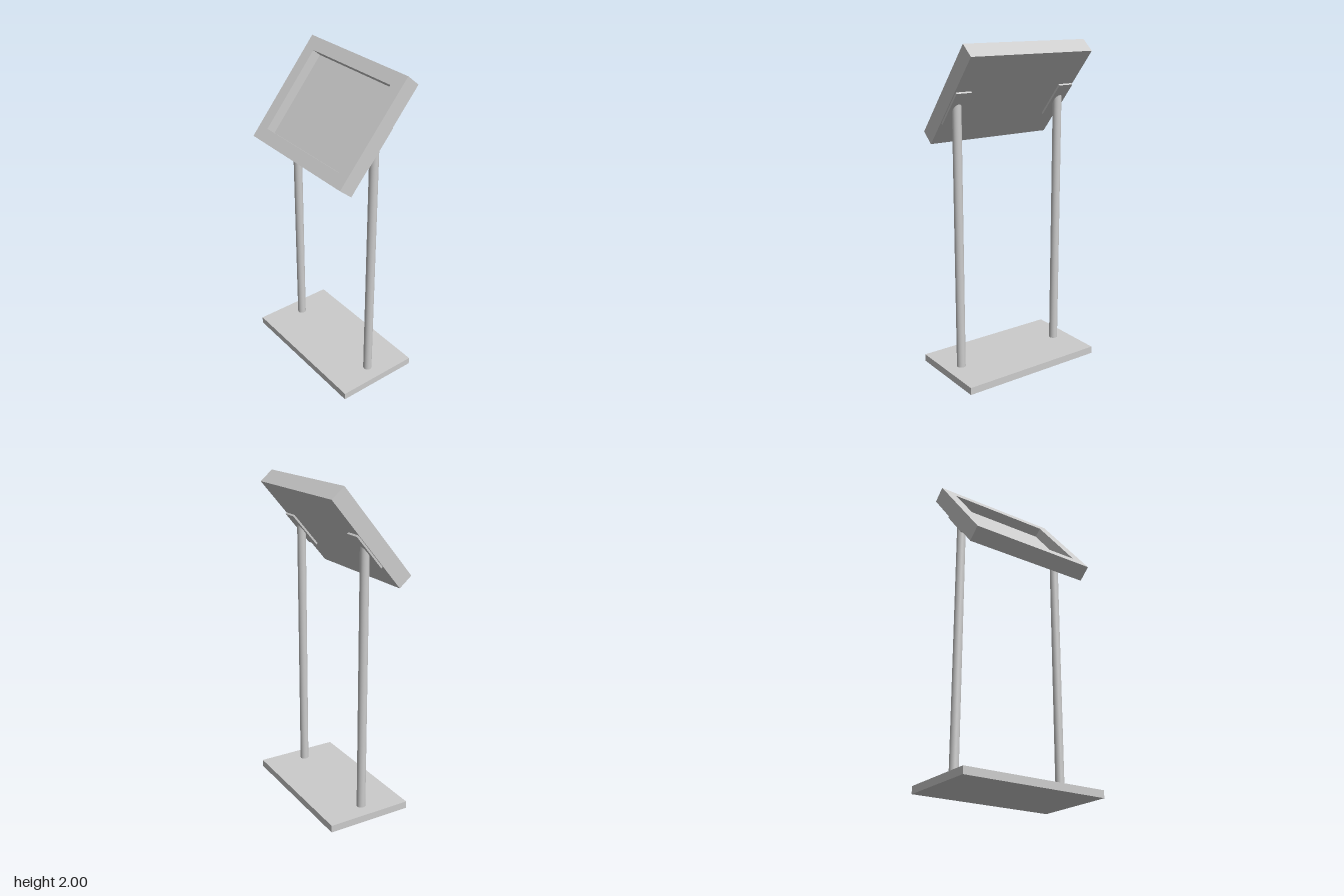
import * as THREE from 'three';

const TILT = THREE.MathUtils.degToRad(40);
const W = 0.84, H = 0.69, T = 0.1;        // panel size
const BORDER = 0.079, RECESS = 0.063;     // frame border and recess depth
const PANEL_Y = 1.7035, PANEL_Z = 0.0115;
const POST_X = 0.363, POST_Z = -0.006, POST_R = 0.027, BASE_H = 0.045;

export function createModel() {
  const group = new THREE.Group();
  const material = new THREE.MeshStandardMaterial({ color: 0xcccccc });
  const add = (parent, name, geometry, x = 0, y = 0, z = 0) => {
    const mesh = new THREE.Mesh(geometry, material);
    mesh.name = name;
    mesh.position.set(x, y, z);
    parent.add(mesh);
    return mesh;
  };

  // Floor plate
  add(group, 'base', new THREE.BoxGeometry(0.934, BASE_H, 0.534), 0, BASE_H / 2, -0.008);

  // Tilted display panel: a frame around a recessed face
  const panel = new THREE.Group();
  panel.name = 'panel';
  panel.position.set(0, PANEL_Y, PANEL_Z);
  panel.rotation.x = -TILT;
  group.add(panel);

  const rectangle = (PathType, w, h) => new PathType([
    new THREE.Vector2(-w / 2, -h / 2), new THREE.Vector2(w / 2, -h / 2),
    new THREE.Vector2(w / 2, h / 2), new THREE.Vector2(-w / 2, h / 2),
  ]);
  const outline = rectangle(THREE.Shape, W, H);
  outline.holes.push(rectangle(THREE.Path, W - 2 * BORDER, H - 2 * BORDER));
  const frame = new THREE.ExtrudeGeometry(outline, { depth: RECESS, bevelEnabled: false });
  add(panel, 'frame', frame, 0, 0, T / 2 - RECESS);
  add(panel, 'panelBack', new THREE.BoxGeometry(W, H, T - RECESS), 0, 0, -RECESS / 2);

  // Post with its top cut obliquely to meet the mounting plate
  const cutOffset = T / 2 + 0.006;
  const cutY = PANEL_Y - cutOffset * Math.sin(TILT);
  const cutZ = PANEL_Z - cutOffset * Math.cos(TILT);
  const postGeometry = new THREE.CylinderGeometry(POST_R, POST_R, 1, 32);
  postGeometry.translate(0, 0.5, 0);
  const p = postGeometry.attributes.position;
  const n = postGeometry.attributes.normal;
  for (let i = 0; i < p.count; i++) {
    if (p.getY(i) < 0.5) {
      p.setY(i, BASE_H);
    } else {
      p.setY(i, cutY - (p.getZ(i) + POST_Z - cutZ) / Math.tan(TILT) );
      if (n.getY(i) > 0.5) n.setXYZ(i, 0, Math.sin(TILT), Math.cos(TILT));
    }
  }

  for (const side of [1, -1]) {
    const prefix = side > 0 ? 'left' : 'right';
    add(group, prefix + 'Post', postGeometry, side * POST_X, 0, POST_Z);
    add(panel, prefix + 'MountingPlate', new THREE.BoxGeometry(0.1, 0.25, 0.012),
      side * POST_X, -0.043, -T / 2 - 0.006);
  }
  return group;
}
